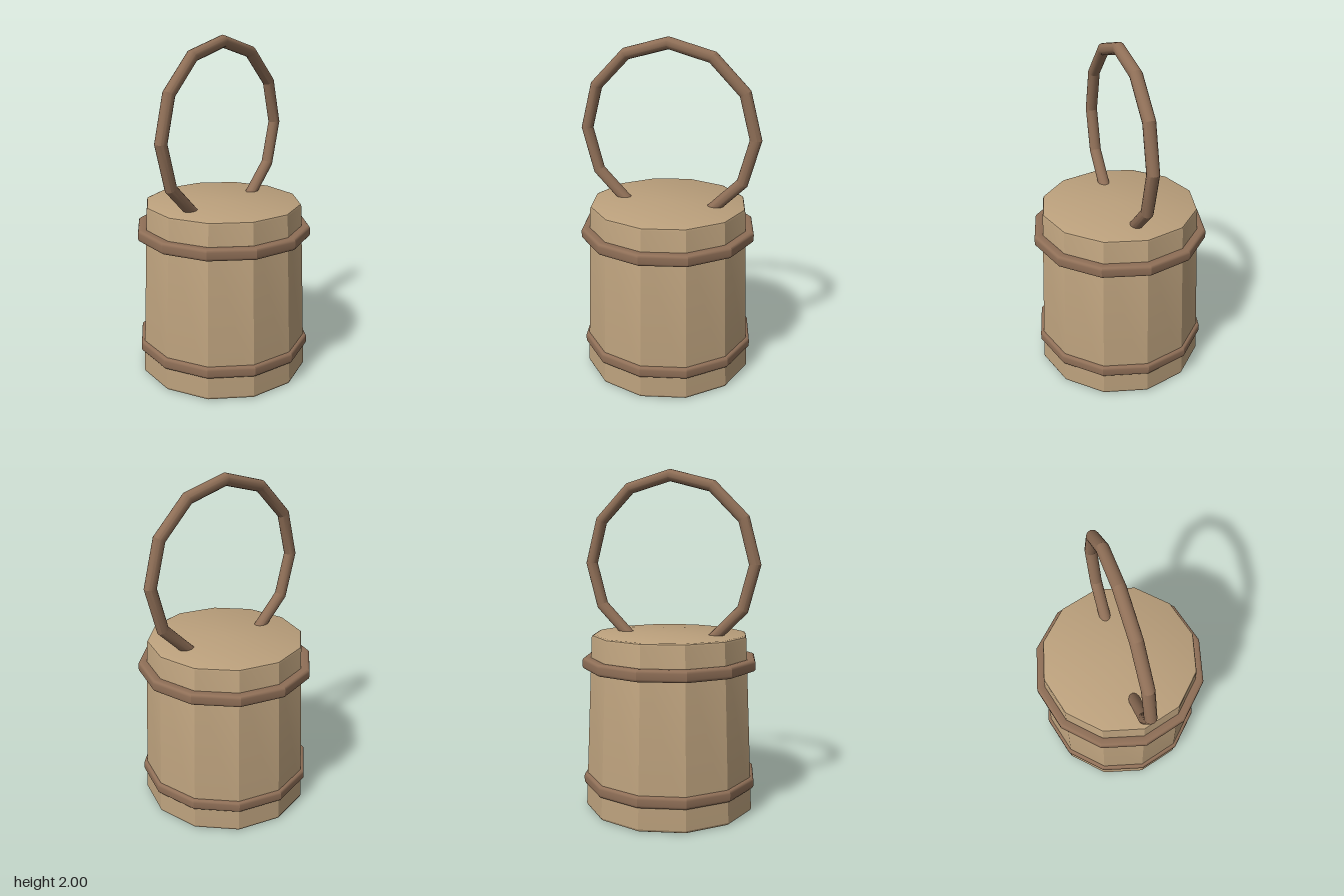
import * as THREE from 'three';
import { toCreasedNormals } from 'three/addons/utils/BufferGeometryUtils.js';

const SIDES = 12;

// Faceted 12-sided turned part; the profile runs counter-clockwise in (radius, y)
function turned(name, profile, material) {
  const points = profile.map(([r, y]) => new THREE.Vector2(r, y));
  const geometry = toCreasedNormals(new THREE.LatheGeometry(points, SIDES), 0.42);
  const mesh = new THREE.Mesh(geometry, material);
  mesh.name = name;
  return mesh;
}

// Closed rectangle profile with rounded corners
function roundedProfile(r0, r1, halfHeight, bevel) {
  const corners = [
    [r1 - bevel, -halfHeight + bevel, -90], [r1 - bevel, halfHeight - bevel, 0],
    [r0 + bevel, halfHeight - bevel, 90], [r0 + bevel, -halfHeight + bevel, 180],
  ];
  const profile = [];
  for (const [r, y, start] of corners) {
    for (let i = 0; i <= 4; i++) {
      const a = THREE.MathUtils.degToRad(start + i * 22.5);
      profile.push([r + Math.cos(a) * bevel, y + Math.sin(a) * bevel]);
    }
  }
  profile.push(profile[0]);
  return profile;
}

export function createModel() {
  const group = new THREE.Group();
  const wood = new THREE.MeshStandardMaterial({ color: 0xbba07c });
  const darkWood = new THREE.MeshStandardMaterial({ color: 0x8f6f57 });

  // Tapered body with softened rims and a closed top
  group.add(turned('body', [
    [0, 0.005], [0.495, 0.005], [0.505, 0.01], [0.51, 0.022],
    [0.466, 1.03], [0.462, 1.041], [0.45, 1.046], [0, 1.046],
  ], wood));

  // Two hoops around the body
  const hoopProfile = roundedProfile(0.462, 0.522, 0.034, 0.018);
  for (const [name, y] of [['lowerHoop', 0.178], ['upperHoop', 0.878]]) {
    const hoop = turned(name, hoopProfile, darkWood);
    hoop.position.y = y;
    group.add(hoop);
  }

  // Ring handle, its lowest part sunk into the lid
  const ring = toCreasedNormals(new THREE.TorusGeometry(0.51, 0.035, 16, SIDES), 0.42);
  const handle = new THREE.Mesh(ring, darkWood);
  handle.name = 'handle';
  handle.position.y = 1.455;
  group.add(handle);

  return group;
}
